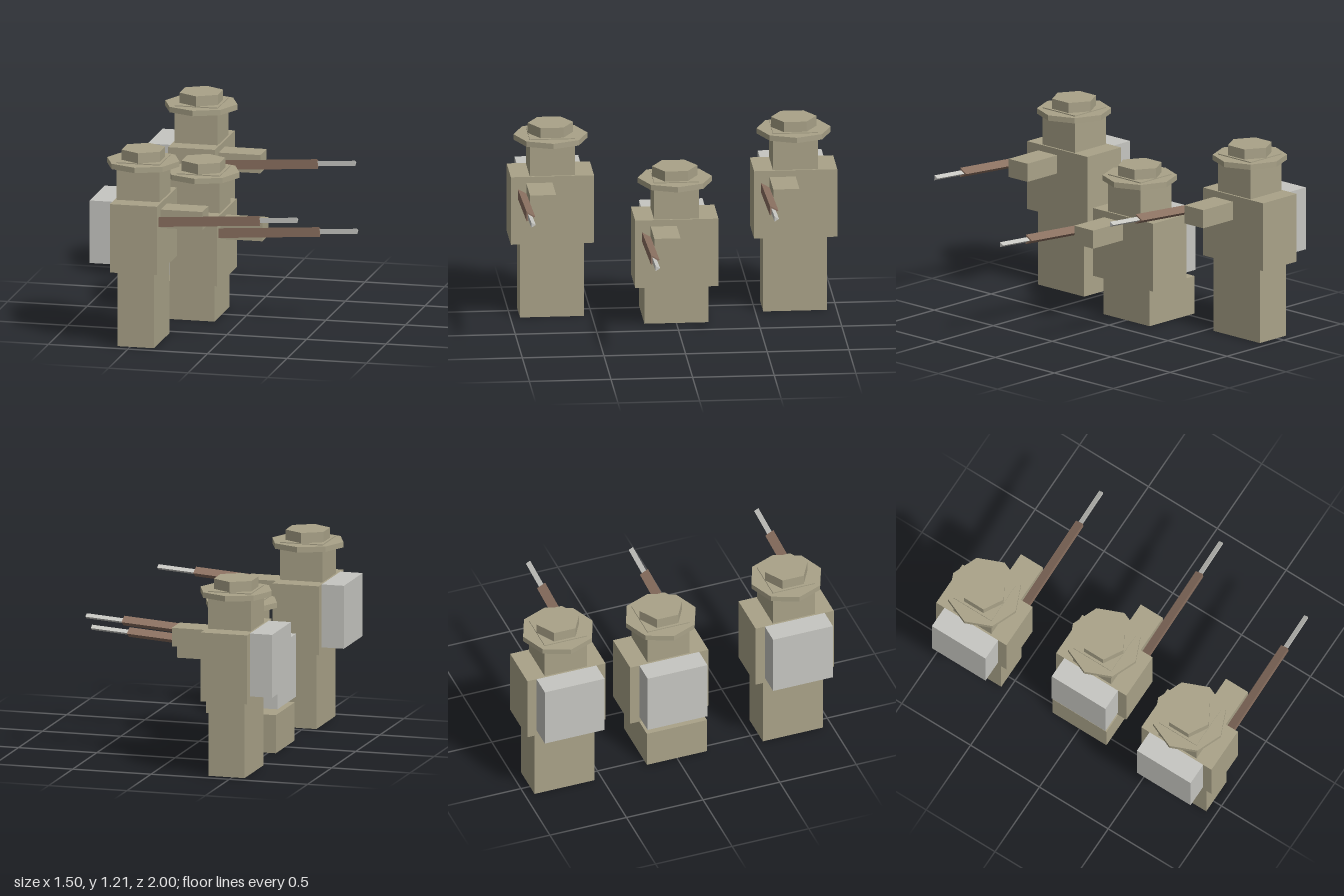
import * as THREE from 'three';

const material = (name, color) => {
  const m = new THREE.MeshStandardMaterial({ color, flatShading: true });
  m.name = name;
  return m;
};

export function createModel() {
  const khaki = material('khaki', 0xa9a288);
  const grey = material('lightGrey', 0xc6c6c1);
  const wood = material('brownWood', 0x8a7060);

  const add = (parent, name, geometry, mat, x, y, z) => {
    const mesh = new THREE.Mesh(geometry, mat);
    mesh.name = name;
    mesh.position.set(x, y, z);
    parent.add(mesh);
    return mesh;
  };

  // Box given by its minimum and maximum on each axis
  const box = (parent, name, mat, [x0, x1], [y0, y1], [z0, z1]) =>
    add(parent, name, new THREE.BoxGeometry(x1 - x0, y1 - y0, z1 - z0), mat,
      (x0 + x1) / 2, (y0 + y1) / 2, (z0 + z1) / 2);

  // Three-sided rod along x with its flat side towards +z
  const rod = (parent, name, mat, radius, x0, x1) => {
    const g = new THREE.CylinderGeometry(radius, radius, x1 - x0, 3, 1, false, Math.PI / 3);
    g.rotateZ(-Math.PI / 2);
    return add(parent, name, g, mat, (x0 + x1) / 2, 0, 0);
  };

  // Upper body, measured from the waist
  const upperBody = () => {
    const g = new THREE.Group();
    g.name = 'upperBody';
    box(g, 'torso', khaki, [-0.148, 0.148], [0, 0.43], [-0.255, 0.255]);
    box(g, 'head', khaki, [-0.136, 0.136], [0.43, 0.666], [-0.138, 0.138]);
    box(g, 'backpack', grey, [-0.29, -0.148], [0.037, 0.43], [-0.195, 0.195]);
    box(g, 'arm', khaki, [0.14, 0.41], [0.275, 0.39], [0, 0.16]);

    // Hat: octagonal brim and hexagonal crown
    add(g, 'hatBrim', new THREE.CylinderGeometry(0.227, 0.227, 0.034, 8), khaki, 0, 0.643, 0);
    add(g, 'hatCrown', new THREE.CylinderGeometry(0.139, 0.139, 0.075, 6), khaki, 0, 0.6925, 0);

    // Rifle, raised slightly towards the muzzle
    const rifle = new THREE.Group();
    rifle.name = 'rifle';
    rifle.position.set(0.148, 0.324, 0.195);
    rifle.rotation.z = 0.07;
    rod(rifle, 'rifleStock', wood, 0.035, -0.06, 0.635);
    rod(rifle, 'rifleBarrel', grey, 0.0185, 0.6, 0.871);
    g.add(rifle);
    return g;
  };

  // One soldier: legs block plus upper body
  const soldier = (name, x, z, waist, legsBack, legsFront) => {
    const g = new THREE.Group();
    g.name = name;
    g.position.set(x, 0, z);
    box(g, 'legs', khaki, [legsBack, legsFront], [0, waist], [-0.196, 0.196]);
    const upper = upperBody();
    upper.position.y = waist;
    g.add(upper);
    return g;
  };

  const model = new THREE.Group();
  model.name = 'soldiers';
  for (const [side, z] of [['Front', 0.745], ['Rear', -0.745]]) {
    model.add(soldier('standingSoldier' + side, -0.465, z, 0.475, -0.115, 0.115));
  }
  model.add(soldier('kneelingSoldier', -0.27, 0, 0.238, -0.28, 0.117));
  return model;
}
